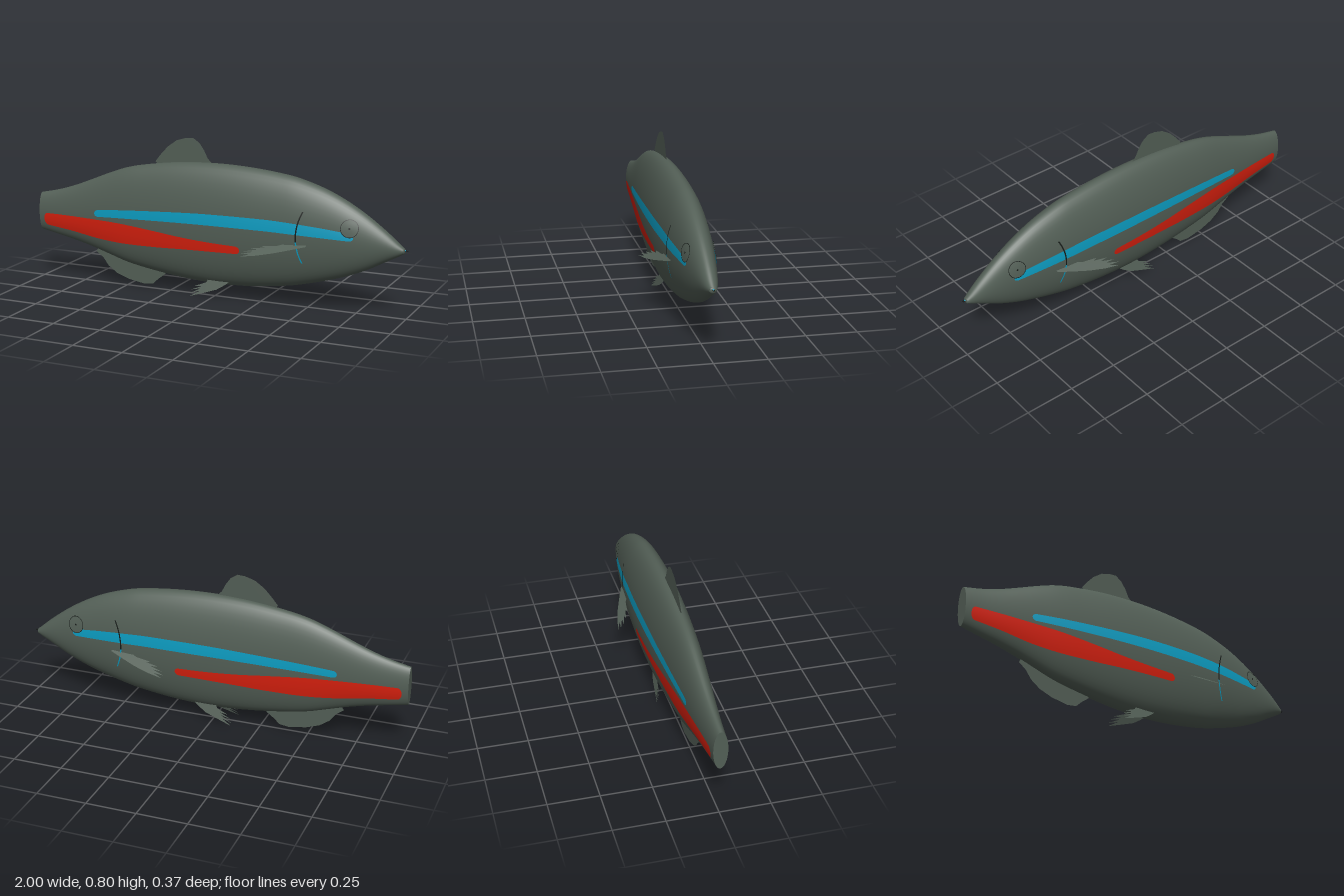
import * as THREE from 'three';

const mat = (name, color) => {
  const m = new THREE.MeshStandardMaterial({ color, side: THREE.DoubleSide });
  m.name = name;
  return m;
};

// Body stations: x, top, bottom, half width
const stations = [
  [-1, 0.455, 0.255, 0.035], [-0.9, 0.477, 0.235, 0.042], [-0.8, 0.508, 0.215, 0.05],
  [-0.7, 0.547, 0.19, 0.058], [-0.6, 0.588, 0.16, 0.066], [-0.5, 0.624, 0.13, 0.074],
  [-0.4, 0.647, 0.11, 0.081], [-0.2, 0.675, 0.083, 0.093], [0, 0.685, 0.07, 0.101],
  [0.2, 0.678, 0.077, 0.104], [0.4, 0.655, 0.102, 0.1], [0.5, 0.631, 0.124, 0.095],
  [0.6, 0.597, 0.151, 0.086], [0.7, 0.55, 0.183, 0.075], [0.8, 0.49, 0.225, 0.06],
  [0.9, 0.417, 0.278, 0.041], [0.95, 0.375, 0.304, 0.028], [0.978, 0.351, 0.32, 0.018],
];

// Smooth lookup of one column of a table sorted by x
function lookup(table, x, col) {
  const n = table.length - 1;
  let i = 0;
  while (i < n - 1 && x > table[i + 1][0]) i++;
  const slope = (k) => {
    const a = table[Math.max(k - 1, 0)], b = table[Math.min(k + 1, n)];
    return (b[col] - a[col]) / (b[0] - a[0]);
  };
  const d = table[i + 1][0] - table[i][0];
  const t = THREE.MathUtils.clamp((x - table[i][0]) / d, 0, 1);
  const t2 = t * t, t3 = t2 * t;
  return (2 * t3 - 3 * t2 + 1) * table[i][col] + (t3 - 2 * t2 + t) * d * slope(i)
    + (3 * t2 - 2 * t3) * table[i + 1][col] + (t3 - t2) * d * slope(i + 1);
}

function section(x) {
  const top = lookup(stations, x, 1), bottom = lookup(stations, x, 2);
  return { c: (top + bottom) / 2, h: (top - bottom) / 2, w: lookup(stations, x, 3) };
}

// Flank depth at a point of the side outline
function flank(x, y) {
  const { c, h, w } = section(x);
  return w * Math.sqrt(Math.max(0, 1 - ((y - c) / h) ** 2));
}

// Moves every vertex of a flat geometry by a rule (x, y) -> [x, y, z]
function bend(geo, rule) {
  const p = geo.attributes.position;
  for (let i = 0; i < p.count; i++) p.setXYZ(i, ...rule(p.getX(i), p.getY(i)));
  geo.computeVertexNormals();
  return geo;
}

const onFlank = (lift) => (x, y) => [x, y, flank(x, y) + lift];

function bodyGeometry() {
  const nx = 80, na = 48, pos = [], idx = [];
  for (let i = 0; i <= nx; i++) {
    const x = -1 + (1.978 * i) / nx, { c, h, w } = section(x);
    for (let j = 0; j < na; j++) {
      const a = (j / na) * Math.PI * 2;
      pos.push(x, c + h * Math.cos(a), w * Math.sin(a));
    }
  }
  for (let i = 0; i < nx; i++) for (let j = 0; j < na; j++) {
    const a = i * na + j, b = i * na + (j + 1) % na;
    idx.push(a, b, a + na, b, b + na, a + na);
  }
  const g = new THREE.BufferGeometry();
  g.setAttribute('position', new THREE.Float32BufferAttribute(pos, 3));
  g.setIndex(idx);
  // Normals should point away from the axis
  g.computeVertexNormals();
  if (g.attributes.normal.getY(40 * na) < 0) {
    g.setIndex(idx.reverse());
    g.computeVertexNormals();
  }
  return g;
}

// Round-ended stripe on the flank; rows hold x, lower, upper
function stripe(rows) {
  const x0 = rows[0][0], x1 = rows[rows.length - 1][0], r = 0.022;
  return bend(new THREE.PlaneGeometry(1, 1, 120, 6), (px, py) => {
    const u = px + 0.5;
    const x = x0 + (x1 - x0) * (u - Math.sin(u * Math.PI * 2) / 8);
    const end = Math.min(x - x0, x1 - x, r) / r;
    const round = Math.sqrt(Math.max(0, 1 - (1 - end) ** 2));
    const lo = lookup(rows, x, 1), hi = lookup(rows, x, 2);
    const y = (lo + hi) / 2 + py * (hi - lo) * round;
    return onFlank(0.003)(x, y);
  });
}

// Thin line along the gill cover between two heights
function gillLine(y0, y1) {
  return bend(new THREE.PlaneGeometry(1, 1, 1, 16), (px, py) => {
    const y = y0 + (y1 - y0) * (py + 0.5);
    const x = 0.468 + 1.9 * (y - 0.37) ** 2 + px * 0.007;
    return onFlank(0.004)(x, y);
  });
}

const fin = (pts, rule) => bend(
  new THREE.ShapeGeometry(new THREE.Shape(pts.map(([x, y]) => new THREE.Vector2(x, y)))), rule);

export function createModel() {
  const skin = mat('dark grey green', 0x535f56);
  const blue = mat('bright blue', 0x0c9dc2);
  const red = mat('red', 0xd9200e);
  const black = mat('black', 0x151a17);
  const fish = new THREE.Group();
  fish.name = 'fish';
  const add = (parent, name, geo, m) => {
    const mesh = new THREE.Mesh(geo, m);
    mesh.name = name;
    parent.add(mesh);
    return mesh;
  };

  add(fish, 'body', bodyGeometry(), skin);

  // Flat end of the tail stalk
  const cap = add(fish, 'tailEnd', new THREE.CircleGeometry(1, 48), skin);
  cap.scale.set(0.035, 0.1, 1);
  cap.rotation.y = -Math.PI / 2;
  cap.position.set(-1, 0.355, 0);

  // Mouth
  const lips = add(fish, 'lips', new THREE.SphereGeometry(1, 20, 12), skin);
  lips.scale.set(0.008, 0.0155, 0.018);
  lips.position.set(0.978, 0.3355, 0);
  const mouth = add(fish, 'mouth', new THREE.SphereGeometry(0.005, 12, 8), blue);
  mouth.position.set(0.985, 0.338, 0);
  const slit = add(fish, 'mouthSlit', new THREE.BoxGeometry(0.035, 0.002, 0.01), black);
  slit.position.set(0.982, 0.338, 0);

  // Fins on the middle plane
  const flat = (x, y) => [x, y, 0];
  add(fish, 'dorsalFin', fin([[-0.33, 0.67], [-0.3, 0.707], [-0.26, 0.75], [-0.21, 0.785],
    [-0.16, 0.8], [-0.12, 0.803], [-0.085, 0.78], [-0.06, 0.745], [-0.04, 0.705],
    [-0.015, 0.68], [-0.1, 0.65], [-0.3, 0.64]], flat), skin);
  add(fish, 'analFin', fin([[-0.68, 0.165], [-0.64, 0.135], [-0.61, 0.095], [-0.56, 0.06],
    [-0.49, 0.035], [-0.4, 0.02], [-0.35, 0.027], [-0.32, 0.055], [-0.28, 0.085],
    [-0.28, 0.13], [-0.5, 0.17], [-0.66, 0.2]], flat), skin);

  // Parts repeated on both flanks
  for (const s of [1, -1]) {
    const side = new THREE.Group();
    side.name = s > 0 ? 'frontFlank' : 'backFlank';
    side.scale.z = s;
    fish.add(side);

    add(side, 'blueStripe', stripe([[-0.655, 0.365, 0.4], [-0.5, 0.373, 0.415],
      [-0.25, 0.383, 0.433], [0, 0.389, 0.445], [0.3, 0.39, 0.447], [0.45, 0.386, 0.44],
      [0.6, 0.38, 0.427], [0.75, 0.373, 0.408]]), blue);
    add(side, 'redStripe', stripe([[-0.97, 0.29, 0.353], [-0.8, 0.272, 0.353],
      [-0.65, 0.25, 0.35], [-0.5, 0.24, 0.345], [-0.3, 0.243, 0.328], [-0.15, 0.25, 0.313],
      [0, 0.255, 0.303], [0.175, 0.259, 0.297]]), red);

    // Eye
    const disc = (r0, r1, lift) => {
      const g = new THREE.RingGeometry(r0, r1, 32, 3);
      g.translate(0.73, 0.435, 0);
      return bend(g, onFlank(lift));
    };
    add(side, 'eye', disc(0, 0.042, 0.005), skin);
    add(side, 'eyeRim', disc(0.041, 0.044, 0.006), black);
    add(side, 'pupil', disc(0, 0.005, 0.007), black);

    // Gill cover edge
    add(side, 'gillEdge', gillLine(0.35, 0.5), black);
    add(side, 'gillEdgeLower', gillLine(0.245, 0.35), blue);

    // Pectoral fin, outlined in x and z, sloping down and out
    add(side, 'pectoralFin', fin([[0.525, 0.085], [0.52, 0.1], [0.45, 0.125], [0.37, 0.152],
      [0.29, 0.173], [0.21, 0.187], [0.26, 0.168], [0.205, 0.173], [0.27, 0.153],
      [0.22, 0.155], [0.29, 0.138], [0.25, 0.135], [0.32, 0.123], [0.3, 0.117],
      [0.38, 0.107], [0.43, 0.085]], (x, z) => [x, 0.335 - (z - 0.095) * 0.65 - (0.52 - x) * 0.01, z]), skin);

    // Pelvic fin with ragged tip
    add(side, 'pelvicFin', fin([[0.11, 0.105], [0.07, 0.075], [0.03, 0.05], [-0.03, 0.03],
      [-0.115, 0.003], [-0.06, 0.035], [-0.115, 0.018], [-0.055, 0.048], [-0.11, 0.036],
      [-0.05, 0.06], [-0.09, 0.056], [-0.03, 0.08], [-0.015, 0.11]],
      (x, y) => [x, y, 0.035 + (0.1 - y) * 0.3]), skin);
  }
  return fish;
}
